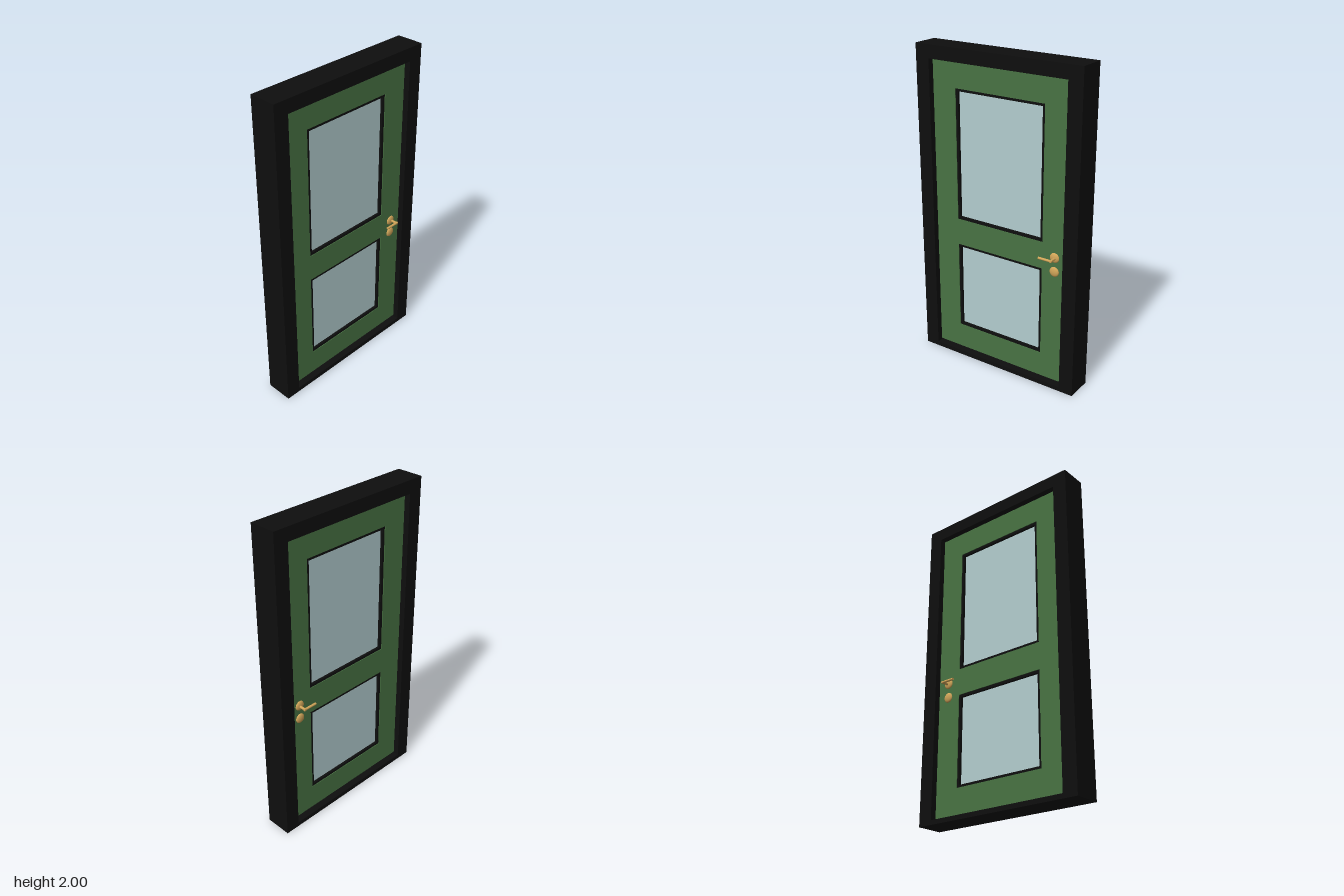
import * as THREE from 'three';

const material = (name, color) => {
  const m = new THREE.MeshStandardMaterial({ color });
  m.name = name;
  return m;
};

// Rectangle path, used both for outlines and for holes
function rect(Type, x0, x1, y0, y1) {
  const p = new Type();
  p.moveTo(x0, y0);
  p.lineTo(x1, y0);
  p.lineTo(x1, y1);
  p.lineTo(x0, y1);
  p.closePath();
  return p;
}

// Flat slab centred on z = 0: outline and holes are [x0, x1, y0, y1]
function slab(name, mat, outline, holes, depth) {
  const shape = rect(THREE.Shape, ...outline);
  holes.forEach(h => shape.holes.push(rect(THREE.Path, ...h)));
  const geo = new THREE.ExtrudeGeometry(shape, { depth, bevelEnabled: false });
  geo.translate(0, 0, -depth / 2);
  const mesh = new THREE.Mesh(geo, mat);
  mesh.name = name;
  return mesh;
}

export function createModel() {
  const black = material('black paint', 0x0e0e0e);
  const green = material('green paint', 0x487343);
  const glass = material('pale glass', 0xb3cdcf);
  const brass = material('brass', 0xd0a458);

  const model = new THREE.Group();
  model.name = 'door';

  // Surround with jambs, head and threshold
  model.add(slab('frame', black, [-0.557, 0.557, 0, 2], [[-0.465, 0.465, 0.028, 1.918]], 0.17));

  // Door leaf with two window openings and a small gap underneath
  const openings = [[-0.305, 0.305, 0.94, 1.758], [-0.305, 0.305, 0.197, 0.771]];
  model.add(slab('doorLeaf', green, [-0.465, 0.465, 0.037, 1.918], openings, 0.094));

  // Dark beading and recessed pane in each opening
  const bead = 0.016;
  openings.forEach(([x0, x1, y0, y1], i) => {
    const inner = [x0 + bead, x1 - bead, y0 + bead, y1 - bead];
    const place = i === 0 ? 'upper' : 'lower';
    model.add(slab(place + 'WindowTrim', black, [x0, x1, y0, y1], [inner], 0.086));
    model.add(slab(place + 'WindowPane', glass, inner, [], 0.054));
  });

  // Lever handle and key cover on both faces
  for (const side of [1, -1]) {
    const handle = new THREE.Group();
    handle.name = side > 0 ? 'frontHandle' : 'backHandle';
    const add = (name, geo, x, y, z) => {
      const mesh = new THREE.Mesh(geo, brass);
      mesh.name = name;
      mesh.position.set(x, y, z * side);
      handle.add(mesh);
      return mesh;
    };
    const disc = () => new THREE.SphereGeometry(0.031, 24, 16).scale(1, 1, 0.4);
    add('handleRose', disc(), 0.39, 0.862, 0.047);
    add('keyCover', disc(), 0.39, 0.773, 0.047);
    add('handleNeck', new THREE.CylinderGeometry(0.008, 0.008, 0.056, 16), 0.394, 0.861, 0.075)
      .rotation.x = Math.PI / 2;
    add('handleLever', new THREE.CylinderGeometry(0.0075, 0.0075, 0.092, 16), 0.356, 0.861, 0.0965)
      .rotation.z = Math.PI / 2;
    model.add(handle);
  }
  return model;
}
